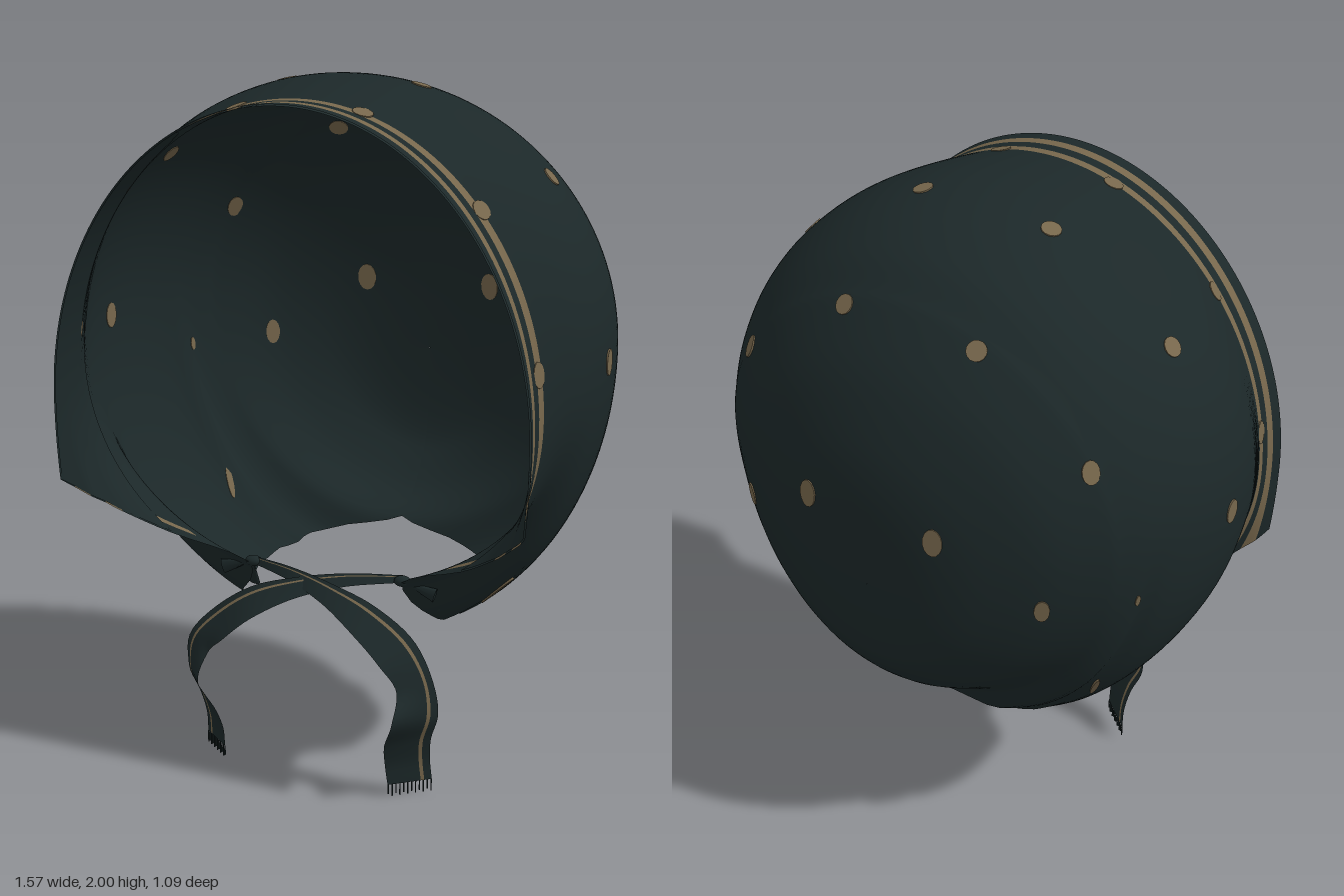
import * as THREE from 'three';

const cloth = new THREE.MeshStandardMaterial({ color: 0x1c2829, side: THREE.DoubleSide });
cloth.name = 'dark teal cloth';
const trim = new THREE.MeshStandardMaterial({ color: 0x77674c, side: THREE.DoubleSide });
trim.name = 'tan trim';

// Cross-sections, front to back: z, top y, widest y, half width, lower end x, lower end y
const SECTIONS = [
  [0.545, 1.96, 1.10, 0.712, 0.700, 0.86],
  [0.508, 1.96, 1.11, 0.704, 0.675, 0.83],
  [0.48, 1.96, 1.12, 0.70, 0.64, 0.80],
  [0.448, 1.96, 1.13, 0.70, 0.61, 0.775],
  [0.42, 1.962, 1.15, 0.703, 0.57, 0.745],
  [0.35, 1.975, 1.19, 0.728, 0.45, 0.675],
  [0.27, 1.988, 1.21, 0.758, 0.24, 0.59],
  [0.19, 1.997, 1.23, 0.775, 0.30, 0.47],
  [0.10, 2.0, 1.24, 0.779, 0.34, 0.452],
  [0.0, 1.99, 1.25, 0.77, 0.36, 0.455],
  [-0.1, 1.965, 1.25, 0.745, 0.36, 0.475],
  [-0.2, 1.92, 1.25, 0.70, 0.31, 0.505],
  [-0.275, 1.86, 1.25, 0.652, 0.22, 0.54],
  [-0.32, 1.82, 1.25, 0.615, 0, 0.59],
  [-0.42, 1.69, 1.23, 0.50, 0, 0.655],
  [-0.49, 1.54, 1.17, 0.36, 0, 0.74],
  [-0.525, 1.42, 1.12, 0.25, 0, 0.81],
  [-0.541, 1.28, 1.09, 0.14, 0, 0.92],
  [-0.546, 1.081, 1.08, 0.001, 0, 1.079],
];
const STEPS = 4, COLS = 128;

// Smooth blend between neighbouring sections
function sectionAt(row) {
  const last = SECTIONS.length - 1, i = Math.min(Math.floor(row / STEPS), last - 1);
  const t = row / STEPS - i;
  const [a, b, c, d] = [i - 1, i, i + 1, i + 2].map(k => SECTIONS[Math.max(0, Math.min(last, k))]);
  return b.map((_, k) => 0.5 * (2 * b[k] + (c[k] - a[k]) * t +
    (2 * a[k] - 5 * b[k] + 4 * c[k] - d[k]) * t * t + (3 * b[k] - a[k] - 3 * c[k] + d[k]) * t ** 3));
}

// Cloth grid: vertices row by row, cells sorted into plain and striped groups
function gridMesh(name, pos, rows, cols, isTrim) {
  const plain = [], striped = [];
  for (let r = 0; r < rows; r++) for (let c = 0; c < cols; c++) {
    const p = r * (cols + 1) + c, q = p + cols + 1;
    (isTrim(r, c) ? striped : plain).push(p, q, p + 1, p + 1, q, q + 1);
  }
  const g = new THREE.BufferGeometry();
  g.setAttribute('position', new THREE.Float32BufferAttribute(pos, 3));
  g.setIndex([...plain, ...striped]);
  g.addGroup(0, plain.length, 0);
  g.addGroup(plain.length, striped.length, 1);
  g.computeVertexNormals();
  const mesh = new THREE.Mesh(g, [cloth, trim]);
  mesh.name = name;
  return mesh;
}

// Hood layer: half-ellipse pairs, open in front and below the neck
function makeLayer(name, rows, inset, isTrim) {
  const pos = [];
  for (let r = 0; r <= rows; r++) {
    const [z, yt, yc, w, ex, ye] = sectionAt(r);
    const s = r >= 13 * STEPS ? 0 : Math.min(0.995, Math.max(0, ex) / w);
    const h = (yc - ye) / Math.sqrt(1 - s * s), end = Math.PI - Math.asin(s);
    for (let c = 0; c <= COLS; c++) {
      const u = (c / COLS) * 2 - 1, a = u * end, k = Math.cos(a);
      // small gathers at the neck edge and a pinched crease behind each ear
      const near = z < 0.25 && z > -0.28 ? Math.max(0, Math.abs(u) - 0.9) * 10 : 0;
      const crease = 0.03 * THREE.MathUtils.smoothstep(Math.abs(u), 0.55, 0.8) * Math.exp(-(((z + 0.2) / 0.022) ** 2));
      pos.push((w * (1 - crease) - inset) * Math.sin(a),
        yc + ((k > 0 ? yt - yc : h) - inset) * k + 0.004 * near * Math.sin(z * 75), z);
    }
  }
  return gridMesh(name, pos, rows, COLS, isTrim);
}

// Two bands round the face and a short stripe along each cheek
function hoodStripe(r, c) {
  const band = Math.floor(r / STEPS), edge = Math.min(c, COLS - 1 - c);
  return band === 1 || band === 3 || (edge === 2 && band >= 4 && r < 22);
}

// Flat dots set into the cloth so they show inside and out
function makeDots(hood) {
  const dots = new THREE.Group();
  dots.name = 'dots';
  const ray = new THREE.Raycaster(), basis = new THREE.Matrix4(), up = new THREE.Vector3(0, 1, 0);
  const disc = new THREE.CylinderGeometry(1, 1, 1, 14).rotateX(Math.PI / 2);
  hood.updateMatrixWorld(true);
  const add = (from, dir, rx = 0.029, ry = 0.029) => {
    ray.set(new THREE.Vector3(...from), new THREE.Vector3(...dir));
    const hit = ray.intersectObject(hood)[0];
    if (!hit) return;
    const n = hit.face.normal;
    const side = new THREE.Vector3().crossVectors(up, n).normalize();
    basis.makeBasis(side, new THREE.Vector3().crossVectors(n, side), n);
    const dot = new THREE.Mesh(disc, trim);
    dot.name = 'dot';
    dot.position.copy(hit.point);
    dot.quaternion.setFromRotationMatrix(basis);
    dot.scale.set(rx, ry, 0.006);
    dots.add(dot);
  };
  for (const s of [-1, 1]) {
    for (const [x, y, rx, ry] of [[0.21, 1.79], [0.205, 1.295, 0.029, 0.042], [0.555, 1.53, 0.025, 0.034], [0.487, 1.115, 0.022, 0.038]])
      add([s * x, y, -3], [0, 0, 1], rx, ry);
    for (const [x, z] of [[0.205, 0.055], [0.587, 0.05], [0.185, 0.42], [0.52, 0.42]])
      add([s * x, 4, z], [0, -1, 0]);
    for (const [z, y, rx, ry] of [[0.095, 1.245, 0.027, 0.038], [0.435, 1.275, 0.026, 0.036],
      [0.14, 0.56, 0.016, 0.07], [-0.225, 1.1, 0.008, 0.02], [-0.175, 0.68, 0.010, 0.055]])
      add([s * 3, y, z], [-s, 0, 0], rx, ry);
  }
  return dots;
}

// Ribbon path: centre x, y, z then half-width vector x, y, z
const RIBBON = [
  [-0.23, 0.590, 0.25, 0, 0.010, -0.004],
  [-0.08, 0.588, 0.32, 0.002, 0.017, -0.010],
  [0.06, 0.560, 0.37, 0.008, 0.025, -0.020],
  [0.18, 0.510, 0.40, 0.018, 0.034, -0.036],
  [0.28, 0.435, 0.41, 0.034, 0.030, -0.042],
  [0.34, 0.345, 0.415, 0.043, 0.014, -0.028],
  [0.350, 0.255, 0.435, 0.046, 0, -0.060],
  [0.318, 0.170, 0.41, 0.050, 0, -0.052],
  [0.308, 0.100, 0.385, 0.050, 0, -0.046],
  [0.310, 0.035, 0.372, 0.050, 0, -0.044],
];

function makeTie(side, lift, name) {
  const tie = new THREE.Group();
  tie.name = name;
  const mid = new THREE.CatmullRomCurve3(RIBBON.map(p =>
    new THREE.Vector3(side * p[0], p[1] + (p[1] < 0.4 ? lift : 0), p[2] - lift * 0.5)));
  const half = new THREE.CatmullRomCurve3(RIBBON.map(p => new THREE.Vector3(side * p[3], p[4], p[5])));
  const across = [-1, -0.6, -0.2, 0.2, 0.5, 0.66, 0.85, 1], n = 48, pos = [];
  for (let i = 0; i <= n; i++) {
    const m = mid.getPoint(i / n), h = half.getPoint(i / n);
    for (const k of across) pos.push(m.x + h.x * k, m.y + h.y * k, m.z + h.z * k);
  }
  tie.add(gridMesh('ribbon', pos, n, across.length - 1, (r, c) => c === 4));
  // frayed threads at the loose end
  const end = mid.getPoint(1), wide = half.getPoint(1);
  for (let i = 0; i < 12; i++) {
    const length = 0.028 + 0.007 * (i % 2);
    const thread = new THREE.Mesh(new THREE.BoxGeometry(0.003, length, 0.003), cloth);
    thread.name = 'fringeThread';
    thread.position.copy(end).addScaledVector(wide, -0.97 + i * 1.94 / 11);
    thread.position.y -= length / 2;
    tie.add(thread);
  }
  return tie;
}

// Gathered corner where a ribbon meets the hood
function makeKnot(side) {
  const knot = new THREE.Group();
  knot.name = side > 0 ? 'leftKnot' : 'rightKnot';
  const core = new THREE.Mesh(new THREE.SphereGeometry(0.02, 14, 10), cloth);
  core.name = 'knotCore';
  core.scale.set(1.3, 0.8, 1);
  knot.add(core);
  for (const [x, y, z] of [[0.09, -0.09, -0.06], [0.10, -0.03, 0.0], [0.05, -0.10, -0.10]]) {
    const dir = new THREE.Vector3(side * x, y, z), len = dir.length();
    const pleat = new THREE.Mesh(new THREE.ConeGeometry(0.022, len, 8, 1, true), cloth);
    pleat.name = 'pleat';
    pleat.scale.z = 0.4;
    pleat.position.copy(dir).multiplyScalar(0.5);
    pleat.quaternion.setFromUnitVectors(new THREE.Vector3(0, -1, 0), dir.normalize());
    knot.add(pleat);
  }
  knot.position.set(side * 0.235, 0.588, 0.25);
  return knot;
}

export function createModel() {
  const model = new THREE.Group();
  model.name = 'bonnet';
  const hood = makeLayer('hood', (SECTIONS.length - 1) * STEPS, 0, hoodStripe);
  model.add(hood, makeDots(hood));
  // plain facing behind the striped front edge
  model.add(makeLayer('frontFacing', 5 * STEPS, 0.005, () => false));
  model.add(makeTie(1, 0, 'leftTie'), makeTie(-1, 0.025, 'rightTie'));
  model.add(makeKnot(1), makeKnot(-1));
  return model;
}
